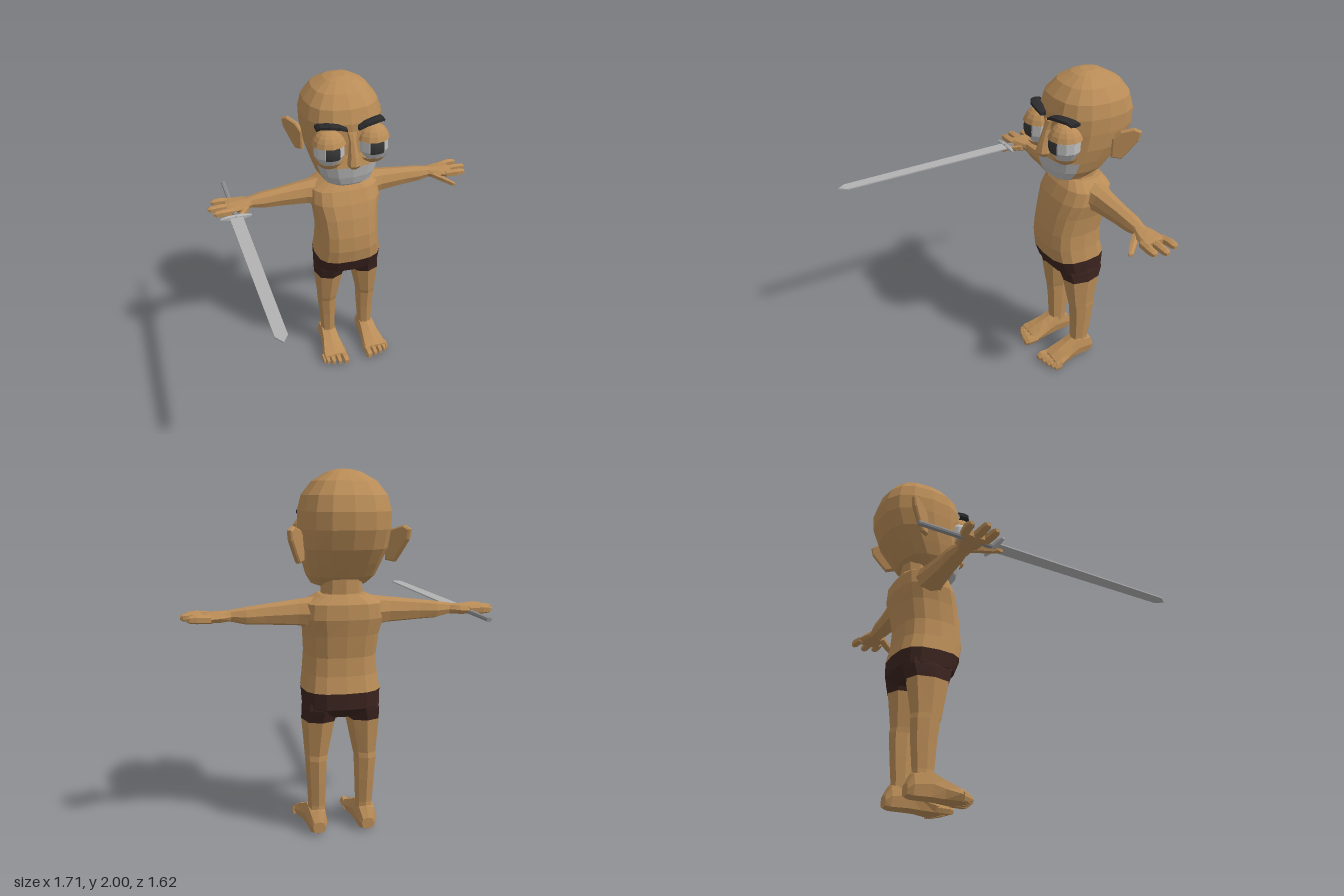
import * as THREE from 'three';

const paint = (name, color) => {
  const m = new THREE.MeshStandardMaterial({ color });
  m.name = name;
  return m;
};

// Faceted normals for every part
function facet(geo) {
  const g = geo.index ? geo.toNonIndexed() : geo;
  g.computeVertexNormals();
  return g;
}

// Skin over cross-sections [t, u0, u1, v0, v1] stacked along an axis.
// (u, v) follow the axis in cyclic order: x -> y,z   y -> z,x   z -> x,y
function loft(axis, n, sections, { power = 0.8, slot = () => 0 } = {}) {
  const pos = [], faces = [[], []];
  const bend = (c) => Math.sign(c) * Math.pow(Math.abs(c) < 1e-9 ? 0 : Math.abs(c), power);
  const put = (t, u, v) => {
    const p = [0, 0, 0];
    p[axis] = t; p[(axis + 1) % 3] = u; p[(axis + 2) % 3] = v;
    pos.push(...p);
  };
  for (const [t, u0, u1, v0, v1] of sections)
    for (let j = 0; j < n; j++) {
      const a = (j / n) * Math.PI * 2;
      put(t, (u0 + u1) / 2 + (u1 - u0) / 2 * bend(Math.cos(a)), (v0 + v1) / 2 + (v1 - v0) / 2 * bend(Math.sin(a)));
    }
  const last = sections.length - 1;
  for (let i = 0; i < last; i++)
    for (let j = 0; j < n; j++) {
      const k = (j + 1) % n, a = i * n + j, b = i * n + k;
      faces[slot(i, j)].push(a, b, b + n, a, b + n, a + n);
    }
  // End caps
  for (const i of [0, last]) {
    const [t, u0, u1, v0, v1] = sections[i], c = pos.length / 3;
    put(t, (u0 + u1) / 2, (v0 + v1) / 2);
    for (let j = 0; j < n; j++) {
      const a = i * n + j, b = i * n + (j + 1) % n;
      faces[slot(Math.min(i, last - 1), j)].push(c, ...(i ? [a, b] : [b, a]));
    }
  }
  const g = new THREE.BufferGeometry();
  g.setAttribute('position', new THREE.Float32BufferAttribute(pos, 3));
  g.setIndex([...faces[0], ...faces[1]]);
  g.addGroup(0, faces[0].length, 0);
  if (faces[1].length) g.addGroup(faces[0].length, faces[1].length, 1);
  return facet(g);
}

// Copy reflected across x = 0, with corner order restored
function mirror(geo) {
  const g = geo.clone(), p = g.attributes.position;
  for (let i = 0; i < p.count; i += 3) {
    const tri = [0, 2, 1].map((k) => new THREE.Vector3().fromBufferAttribute(geo.attributes.position, i + k));
    tri.forEach((v, k) => p.setXYZ(i + k, -v.x, v.y, v.z));
  }
  g.computeVertexNormals();
  return g;
}

export function createModel() {
  const model = new THREE.Group();
  model.name = 'swordsman';
  const skin = paint('skin', 0xb98c57), beard = paint('beard', 0xb4b4b4);
  const cloth = paint('shorts', 0x3b241f), brow = paint('brow', 0x2a2a2c);
  const eyeWhite = paint('eye', 0xbdbdbd), pupil = paint('pupil', 0x363636);
  const steel = paint('steel', 0xb2b2b2), grip = paint('grip', 0x8c8c8e);

  const add = (name, geo, mat) => {
    const mesh = new THREE.Mesh(geo, mat);
    mesh.name = name;
    model.add(mesh);
  };
  const pair = (name, geo, mat) => {
    add(name + 'Left', geo, mat);
    add(name + 'Right', mirror(geo), mat);
  };

  // Head, with the bearded jaw as the front of the lower rings
  add('head', loft(1, 16, [
    [1.38, -0.42, -0.29, -0.10, 0.10],
    [1.40, -0.52, -0.265, -0.15, 0.15],
    [1.45, -0.61, -0.25, -0.185, 0.185],
    [1.52, -0.67, -0.24, -0.208, 0.208],
    [1.60, -0.73, -0.26, -0.23, 0.23],
    [1.70, -0.77, -0.26, -0.24, 0.24],
    [1.79, -0.775, -0.26, -0.24, 0.24],
    [1.87, -0.75, -0.285, -0.22, 0.22],
    [1.94, -0.695, -0.345, -0.165, 0.165],
    [1.985, -0.61, -0.42, -0.09, 0.09],
    [2.00, -0.55, -0.47, -0.04, 0.04],
  ], { slot: (i, j) => (i < 3 && (j < 3 || j > 12) ? 1 : 0) }), [skin, beard]);

  // Eyes with lids and pupils
  const orb = (r, phi, phiLen, th, thLen, sx, sy, sz) => facet(
    new THREE.SphereGeometry(r, 12, 5, phi, phiLen, th * Math.PI, thLen * Math.PI)
      .scale(sx, sy, sz).translate(0.135, 1.645, -0.29));
  const TAU = Math.PI * 2;
  pair('eye', orb(1, 0, TAU, 0, 1, 0.097, 0.105, 0.095), eyeWhite);
  pair('upperLid', orb(1, 0, TAU, 0, 0.4, 0.108, 0.125, 0.108), skin);
  pair('lowerLid', orb(1, 0, TAU, 0.69, 0.31, 0.108, 0.125, 0.1), skin);
  pair('pupil', orb(1.03, Math.PI / 2 - 0.46, 0.92, 0.37, 0.25, 0.097, 0.105, 0.095), pupil);

  // Brows, nose and ears
  pair('brow', loft(0, 6, [
    [0.035, 1.755, 1.78, -0.28, -0.225],
    [0.08, 1.775, 1.805, -0.28, -0.215],
    [0.14, 1.785, 1.815, -0.29, -0.22],
    [0.19, 1.78, 1.807, -0.32, -0.25],
    [0.207, 1.765, 1.79, -0.34, -0.27],
  ]), brow);
  add('nose', loft(1, 8, [
    [1.525, -0.28, -0.21, -0.028, 0.028],
    [1.55, -0.28, -0.187, -0.042, 0.042],
    [1.60, -0.28, -0.2, -0.032, 0.032],
    [1.69, -0.28, -0.23, -0.022, 0.022],
    [1.74, -0.28, -0.25, -0.03, 0.03],
  ]), skin);
  const earShape = new THREE.Shape([[0, -0.08], [0.05, -0.085], [0.085, -0.04], [0.135, 0.03], [0.145, 0.075],
    [0.11, 0.09], [0.04, 0.07], [0, 0.03]].map((p) => new THREE.Vector2(...p)));
  const ear = new THREE.ExtrudeGeometry(earShape, { depth: 0.015, bevelSize: 0.008, bevelThickness: 0.008, bevelSegments: 1 });
  pair('ear', facet(ear.rotateY(0.97).translate(0.222, 1.62, -0.56)), skin);

  // Neck and torso, the lowest rings being shorts
  add('neck', loft(1, 10, [
    [1.31, -0.62, -0.36, -0.14, 0.14],
    [1.36, -0.59, -0.37, -0.11, 0.11],
    [1.45, -0.59, -0.36, -0.105, 0.105],
  ]), skin);
  add('torso', loft(1, 16, [
    [0.685, -0.57, -0.37, -0.18, 0.18],
    [0.74, -0.625, -0.285, -0.212, 0.212],
    [0.83, -0.63, -0.25, -0.215, 0.215],
    [0.92, -0.61, -0.235, -0.202, 0.202],
    [1.02, -0.605, -0.24, -0.195, 0.195],
    [1.14, -0.625, -0.265, -0.205, 0.205],
    [1.23, -0.645, -0.295, -0.225, 0.225],
    [1.31, -0.64, -0.335, -0.215, 0.215],
    [1.355, -0.61, -0.37, -0.13, 0.13],
  ], { power: 0.7, slot: (i) => (i < 2 ? 1 : 0) }), [skin, cloth]);

  // Arms and hands
  pair('arm', loft(0, 8, [
    [0.13, 1.17, 1.345, -0.60, -0.40],
    [0.25, 1.19, 1.33, -0.575, -0.43],
    [0.42, 1.20, 1.31, -0.56, -0.45],
    [0.52, 1.205, 1.298, -0.56, -0.455],
    [0.61, 1.225, 1.283, -0.54, -0.465],
  ]), skin);
  pair('hand', loft(0, 8, [
    [0.59, 1.225, 1.283, -0.54, -0.46],
    [0.65, 1.22, 1.28, -0.57, -0.435],
    [0.72, 1.222, 1.275, -0.585, -0.42],
    [0.745, 1.23, 1.27, -0.58, -0.42],
  ]), skin);
  for (const [label, root, tip, end] of [['Outer', -0.56, -0.573, 0.825], ['Middle', -0.5, -0.495, 0.855], ['Fore', -0.44, -0.43, 0.83]])
    pair('finger' + label, loft(0, 6, [
      [0.70, 1.225, 1.27, root - 0.024, root + 0.024],
      [(0.72 + end) / 2, 1.228, 1.275, tip - 0.024, tip + 0.024],
      [end - 0.015, 1.232, 1.27, tip - 0.022, tip + 0.022],
      [end, 1.24, 1.262, tip - 0.012, tip + 0.012],
    ]), skin);
  pair('thumb', loft(0, 6, [
    [0.61, 1.225, 1.265, -0.50, -0.44],
    [0.67, 1.21, 1.25, -0.435, -0.375],
    [0.71, 1.20, 1.235, -0.385, -0.34],
    [0.728, 1.205, 1.225, -0.365, -0.335],
  ]), skin);

  // Legs, the topmost rings being shorts
  pair('leg', loft(1, 8, [
    [0.08, -0.54, -0.41, 0.09, 0.19],
    [0.16, -0.535, -0.41, 0.088, 0.185],
    [0.30, -0.55, -0.40, 0.082, 0.193],
    [0.43, -0.56, -0.385, 0.078, 0.202],
    [0.46, -0.555, -0.375, 0.072, 0.203],
    [0.66, -0.585, -0.335, 0.03, 0.22],
    [0.73, -0.61, -0.31, 0.01, 0.218],
    [0.80, -0.60, -0.32, 0.01, 0.2],
  ], { slot: (i) => (i > 4 ? 1 : 0) }), [skin, cloth]);

  // Feet and toes
  pair('foot', loft(2, 8, [
    [-0.57, 0.105, 0.175, 0.015, 0.08],
    [-0.54, 0.088, 0.195, 0, 0.14],
    [-0.44, 0.082, 0.2, 0, 0.165],
    [-0.37, 0.075, 0.21, 0, 0.125],
    [-0.29, 0.062, 0.235, 0, 0.085],
    [-0.245, 0.062, 0.238, 0.004, 0.062],
  ], { power: 0.65 }), skin);
  [[0.087, 0.026, -0.18], [0.132, 0.02, -0.19], [0.172, 0.02, -0.2], [0.208, 0.017, -0.215], [0.23, 0.013, -0.23]].forEach(([x, r, z], i) =>
    pair('toe' + (i + 1), loft(2, 6, [
      [-0.28, x - r, x + r, 0.004, 0.06],
      [z - 0.025, x - r, x + r, 0.002, 0.035 + r],
      [z, x - r * 0.6, x + r * 0.6, 0.01, 0.02 + r],
    ]), skin));

  // Sword held in the right hand
  const bladeShape = new THREE.Shape([[-0.04, 0.38], [0.04, 0.38], [0.033, -0.755], [0, -0.805], [-0.033, -0.755]]
    .map((p) => new THREE.Vector2(...p)));
  const blade = new THREE.ExtrudeGeometry(bladeShape, { depth: 0.008, bevelEnabled: false });
  add('blade', facet(blade.rotateX(-Math.PI / 2).translate(-0.705, 1.235, 0)), steel);
  add('guard', loft(0, 6, [
    [-0.80, 1.232, 1.246, -0.385, -0.37],
    [-0.75, 1.22, 1.256, -0.395, -0.365],
    [-0.66, 1.22, 1.256, -0.395, -0.365],
    [-0.61, 1.232, 1.246, -0.385, -0.37],
  ]), steel);
  add('handle', loft(2, 8, [
    [-0.815, -0.719, -0.691, 1.227, 1.251],
    [-0.37, -0.721, -0.689, 1.225, 1.253],
  ]), grip);
  return model;
}
